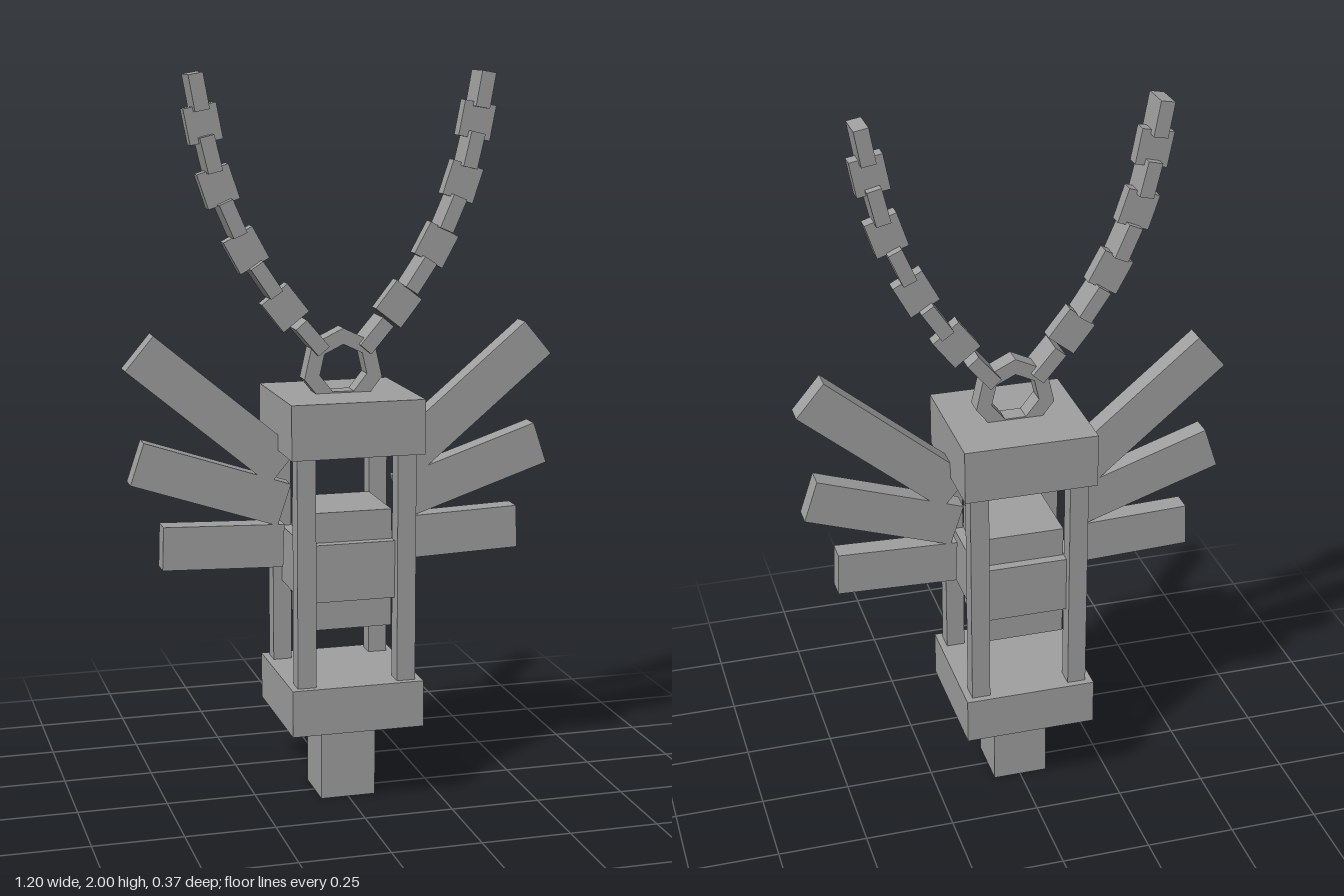
import * as THREE from 'three';

export function createModel() {
  const model = new THREE.Group();
  model.name = 'wingedLanternKey';
  const grey = new THREE.MeshStandardMaterial({ color: 0xa0a0a0 });
  grey.name = 'plain grey';
  grey.flatShading = true;

  const add = (name, geometry, x, y, z = 0) => {
    const mesh = new THREE.Mesh(geometry, grey);
    mesh.name = name;
    mesh.position.set(x, y, z);
    model.add(mesh);
    return mesh;
  };
  // Square block centred on the vertical axis
  const block = (name, width, y0, y1, x = 0, z = 0) =>
    add(name, new THREE.BoxGeometry(width, y1 - y0, width), x, (y0 + y1) / 2, z);

  // Lantern frame
  block('stem', 0.155, 0, 0.225);
  block('basePlate', 0.37, 0.225, 0.355);
  block('topPlate', 0.37, 0.99, 1.14);
  for (const x of [-0.14, 0.14])
    for (const z of [-0.14, 0.14]) block('cornerPost', 0.052, 0.355, 0.99, x, z);

  // Core with a wider band
  block('core', 0.225, 0.5, 0.828);
  block('coreBand', 0.28, 0.585, 0.745);

  // Seven-sided hanging ring
  const heptagon = (r) => Array.from({ length: 7 }, (_, i) => {
    const a = Math.PI / 2 + (i * Math.PI * 2) / 7;
    return new THREE.Vector2(r * Math.cos(a), r * Math.sin(a));
  });
  const ringShape = new THREE.Shape(heptagon(0.112));
  ringShape.holes.push(new THREE.Path(heptagon(0.068).reverse()));
  const ringGeometry = new THREE.ExtrudeGeometry(ringShape, { depth: 0.054, bevelEnabled: false });
  ringGeometry.translate(0, 0, -0.027);
  add('hangingRing', ringGeometry, 0, 1.205);

  // Wing blades: outer end x, y, tilt in degrees, length
  const blades = [
    [0.56, 1.27, 40, 0.51],
    [0.571, 0.972, 18.5, 0.425],
    [0.505, 0.735, 2, 0.335],
  ];

  // Centres of the chain links, from the ring upwards
  const chain = [
    [0.09, 1.295], [0.159, 1.376], [0.215, 1.455], [0.265, 1.534], [0.305, 1.62],
    [0.339, 1.704], [0.362, 1.79], [0.378, 1.868], [0.393, 1.951],
  ];

  for (const side of [1, -1]) {
    for (const [x, y, degrees, length] of blades) {
      const a = THREE.MathUtils.degToRad(degrees);
      const blade = add('wingBlade', new THREE.BoxGeometry(length, 0.12, 0.06),
        side * (x - (length / 2) * Math.cos(a)), y - (length / 2) * Math.sin(a));
      blade.rotation.z = side * a;
    }
    // Flat links, every second one turned a quarter
    chain.forEach(([x, y], i) => {
      const [x0, y0] = chain[Math.max(i - 1, 0)];
      const [x1, y1] = chain[Math.min(i + 1, chain.length - 1)];
      const wide = i % 2 === 1;
      const link = add('chainLink',
        new THREE.BoxGeometry(wide ? 0.09 : 0.04, 0.097, wide ? 0.04 : 0.09), side * x, y);
      link.rotation.z = -side * Math.atan2(x1 - x0, y1 - y0);
    });
  }
  return model;
}
